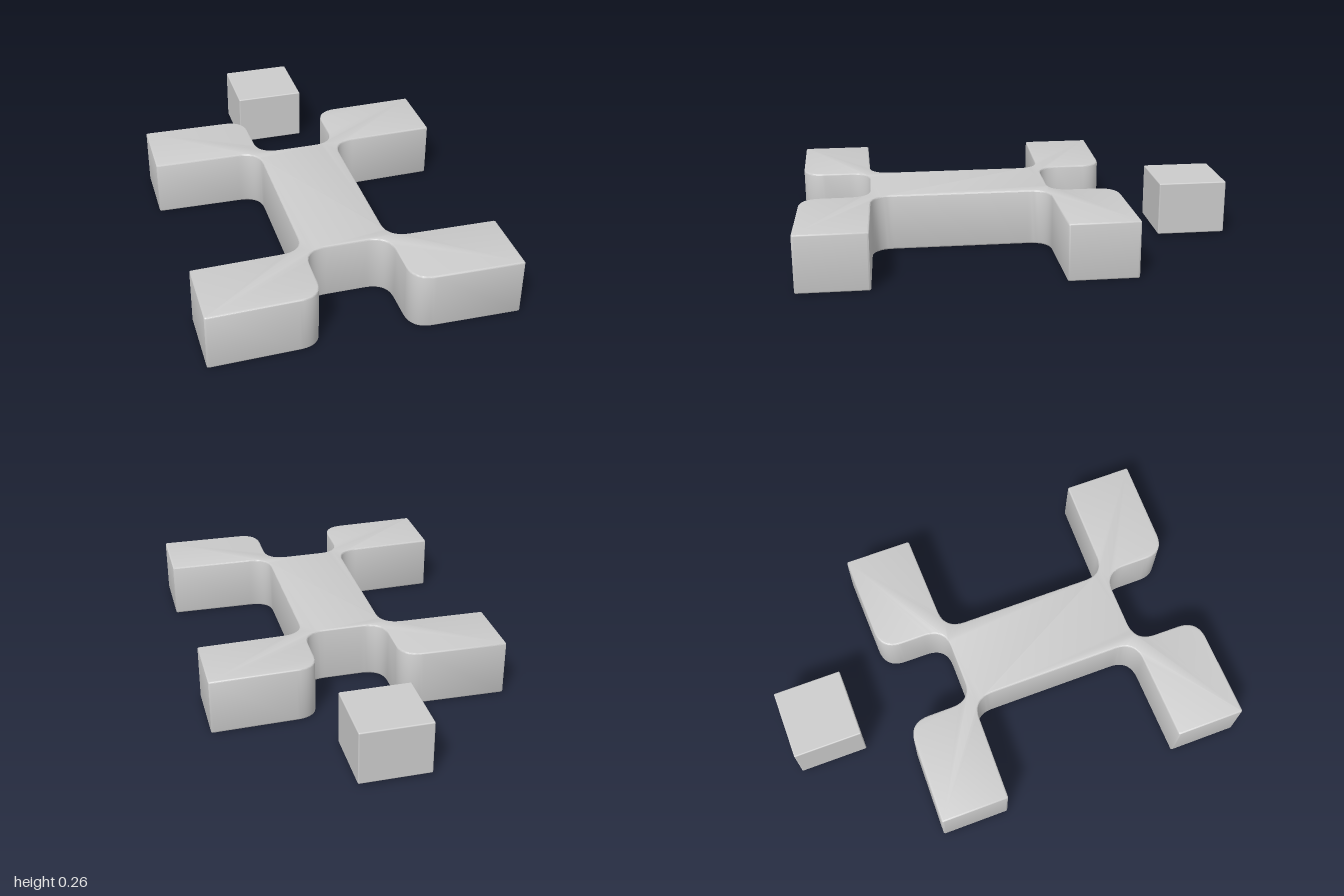
import * as THREE from 'three';
import { toCreasedNormals } from 'three/addons/utils/BufferGeometryUtils.js';
import { RoundedBoxGeometry } from 'three/addons/geometries/RoundedBoxGeometry.js';

const HEIGHT = 0.26;
const BEVEL = 0.007;

// Closed outline whose corners [x, z, cut] are rounded by a curve starting "cut" before the corner
function roundedOutline(corners) {
  const pts = corners.map(([x, z]) => new THREE.Vector2(x, -z));
  const toward = (a, b, d) => a.clone().add(b.clone().sub(a).setLength(d));
  const shape = new THREE.Shape();
  corners.forEach(([, , cut], i) => {
    const p = pts[i];
    const start = toward(p, pts[(i + pts.length - 1) % pts.length], cut);
    const end = toward(p, pts[(i + 1) % pts.length], cut);
    if (i === 0) shape.moveTo(start.x, start.y);
    else shape.lineTo(start.x, start.y);
    shape.quadraticCurveTo(p.x, p.y, end.x, end.y);
  });
  shape.closePath();
  return shape;
}

export function createModel() {
  const model = new THREE.Group();
  model.name = 'blockFigure';
  const material = new THREE.MeshStandardMaterial({ color: 0xcccccc });

  // Left half of the body outline, from the neck notch round the arm and leg to the crotch notch
  const half = [
    [0.188, -0.15, 0.1], // shoulder, neck side
    [0.19, -0.463, 0.1], // top of shoulder
    [0.68, -0.474, 0.01], // hand
    [0.68, -0.157, 0.01],
    [0.188, -0.147, 0.1], // armpit
    [0.188, 0.668, 0.1], // hip
    [0.68, 0.678, 0.01], // foot
    [0.68, 0.998, 0.01],
    [0.19, 0.988, 0.1], // inner leg
    [0.188, 0.671, 0.1], // crotch
  ];
  const mirrored = half.map(([x, z, cut]) => [-x, z, cut]).reverse();

  // Body with arms and legs in one piece
  const bodyGeometry = new THREE.ExtrudeGeometry(roundedOutline([...half, ...mirrored]), {
    depth: HEIGHT - 2 * BEVEL,
    curveSegments: 12,
    bevelThickness: BEVEL,
    bevelSize: BEVEL,
    bevelOffset: -BEVEL,
    bevelSegments: 3,
  });
  bodyGeometry.rotateX(-Math.PI / 2);
  bodyGeometry.translate(0, BEVEL, 0);
  const body = new THREE.Mesh(toCreasedNormals(bodyGeometry, 0.7), material);
  body.name = 'body';
  model.add(body);

  // Separate head floating beyond the neck notch
  const head = new THREE.Mesh(new RoundedBoxGeometry(0.324, 0.25, 0.32, 3, 0.006), material);
  head.name = 'head';
  head.position.set(0, 0.134, -0.84);
  model.add(head);

  return model;
}
